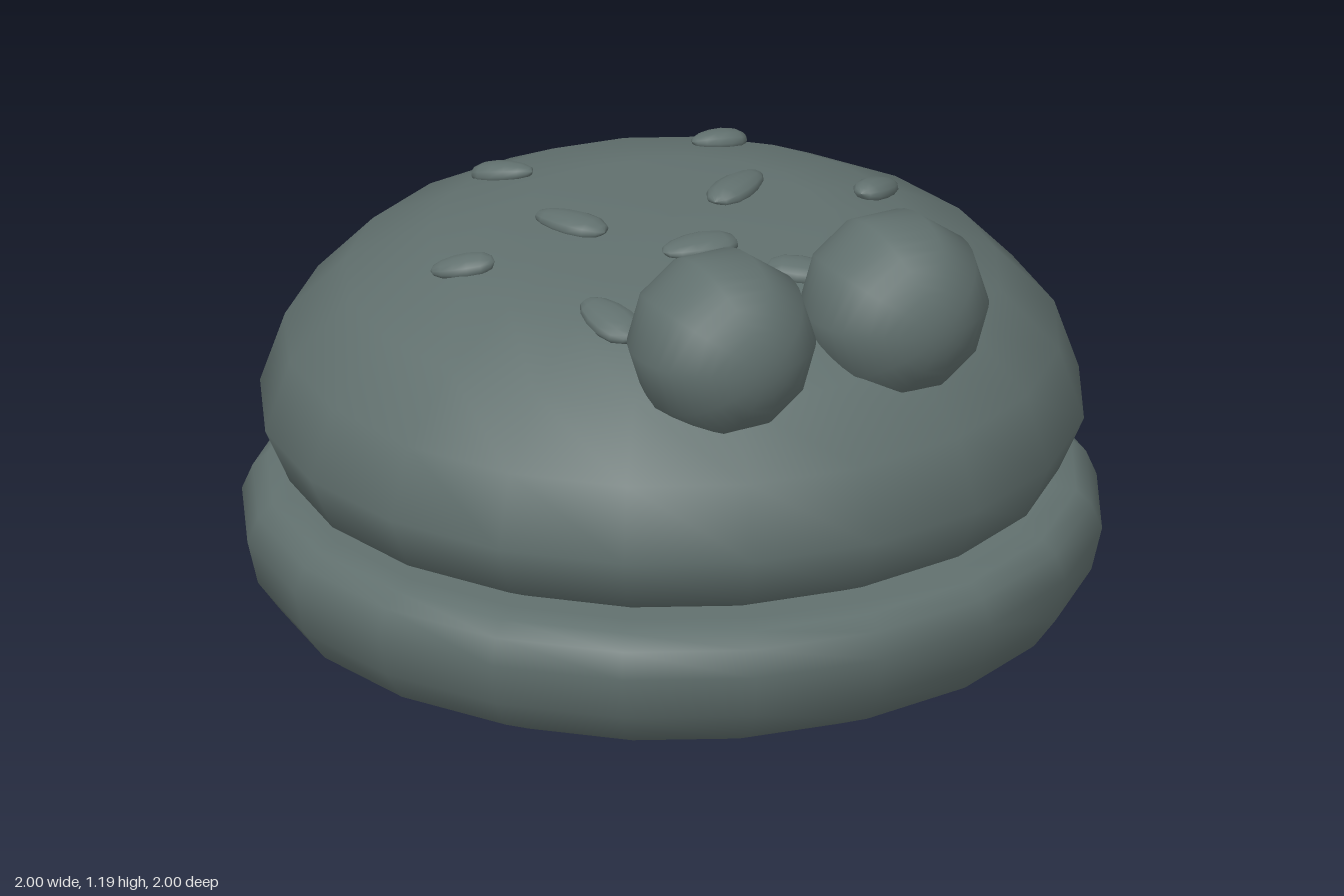
import * as THREE from 'three';

const material = new THREE.MeshStandardMaterial({ color: 0x61706e });
const toPoints = (list) => list.map(([r, y]) => new THREE.Vector2(r, y));

// Bun profiles as [radius, height], from the bottom up
const BOTTOM = [[0, 0], [0.65, 0], [0.79, 0.023], [0.92, 0.085], [0.975, 0.16],
  [1, 0.265], [0.975, 0.325], [0.94, 0.358], [0.88, 0.368], [0, 0.368]];
const TOP = [[0, 0.36], [0.8, 0.362], [0.9, 0.41], [0.958, 0.54], [0.9, 0.71],
  [0.76, 0.857], [0.56, 0.957], [0.36, 0.99], [0, 0.997]];

// Seeds as [tip x, tip z, round end x, round end z, width]
const SEEDS = [
  [-0.14, -0.405, -0.23, -0.53, 0.085],
  [0.275, -0.395, 0.41, -0.385, 0.09],
  [-0.585, -0.095, -0.465, -0.005, 0.085],
  [-0.26, -0.175, -0.18, 0.005, 0.1],
  [0.3, -0.13, 0.125, -0.02, 0.1],
  [0.59, -0.01, 0.46, 0.07, 0.085],
  [-0.12, 0.17, 0.065, 0.19, 0.115],
  [0.435, 0.26, 0.55, 0.35, 0.09],
  [-0.39, 0.285, -0.365, 0.475, 0.11],
  [0.21, 0.45, 0.055, 0.345, 0.105],
];

function addMesh(parent, geometry, name) {
  const mesh = new THREE.Mesh(geometry, material);
  mesh.name = name;
  parent.add(mesh);
  return mesh;
}

// Point on the upper surface of the top bun
function onBun(x, z) {
  const r = Math.hypot(x, z);
  for (let i = TOP.length - 1; i > 4; i--) {
    const [r0, y0] = TOP[i], [r1, y1] = TOP[i - 1];
    if (r <= r1) return new THREE.Vector3(x, y0 + (y1 - y0) * (r - r0) / (r1 - r0), z);
  }
  return new THREE.Vector3(x, TOP[4][1], z);
}

// Unit teardrop along y: round end at -0.5, blunt tip at +0.5
function teardrop() {
  const profile = [[0, -0.5], [0.26, -0.45], [0.44, -0.31], [0.5, -0.1],
    [0.46, 0.12], [0.35, 0.32], [0.2, 0.45], [0, 0.5]];
  return new THREE.LatheGeometry(toPoints(profile), 12);
}

export function createModel() {
  const model = new THREE.Group();
  model.name = 'bunWithEyes';

  // Two bun halves
  addMesh(model, new THREE.LatheGeometry(toPoints(BOTTOM), 20), 'bottomBun');
  addMesh(model, new THREE.LatheGeometry(toPoints(TOP), 20), 'topBun');

  // Round eyes, poles facing front and back
  const eyeGeometry = new THREE.SphereGeometry(0.219, 10, 20).rotateX(Math.PI / 2);
  for (const side of [1, -1]) {
    const eye = addMesh(model, eyeGeometry, side > 0 ? 'leftEye' : 'rightEye');
    eye.position.set(side * 0.229, 0.979, 0.641);
  }

  // Seeds lying flat on the slope of the top bun
  const seeds = new THREE.Group();
  seeds.name = 'seeds';
  model.add(seeds);
  const seedGeometry = teardrop();
  for (const [tx, tz, rx, rz, width] of SEEDS) {
    const tip = onBun(tx, tz), round = onBun(rx, rz);
    const along = tip.clone().sub(round);
    const length = along.length();
    along.normalize();
    // Surface normal from neighbouring points, squared up to the seed axis
    const mid = tip.clone().add(round).multiplyScalar(0.5);
    const e = 0.06;
    const normal = new THREE.Vector3(
      onBun(mid.x - e, mid.z).y - onBun(mid.x + e, mid.z).y, 2 * e,
      onBun(mid.x, mid.z - e).y - onBun(mid.x, mid.z + e).y);
    normal.addScaledVector(along, -normal.dot(along)).normalize();
    const across = along.clone().cross(normal);
    const seed = addMesh(seeds, seedGeometry, 'seed');
    seed.quaternion.setFromRotationMatrix(new THREE.Matrix4().makeBasis(across, along, normal));
    seed.position.copy(onBun(mid.x, mid.z)).addScaledVector(normal, 0.006);
    seed.scale.set(width, length, 0.052);
  }
  return model;
}
